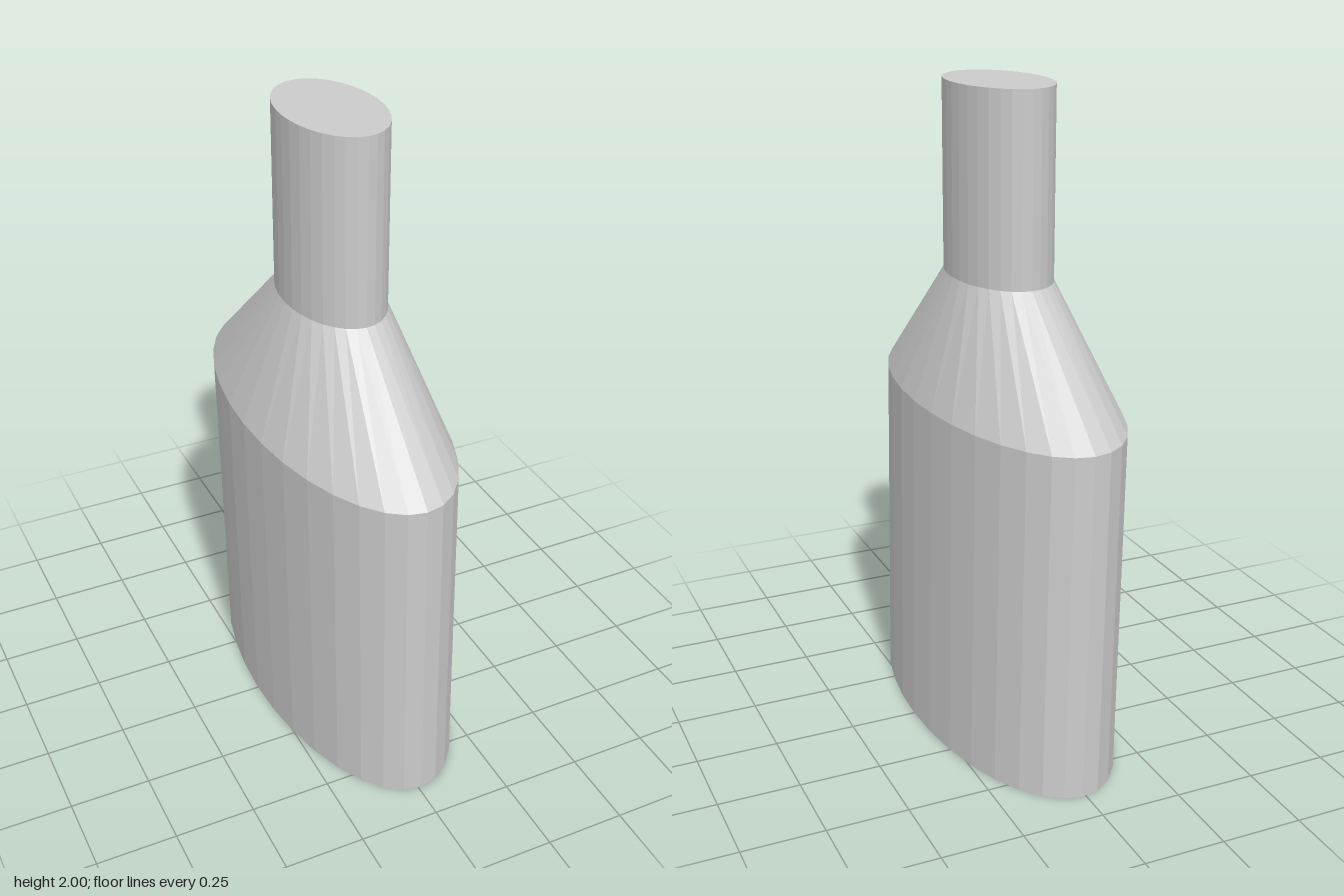
import * as THREE from 'three';

const SIDES = 32;
const material = new THREE.MeshStandardMaterial({ color: 0xcccccc, flatShading: true });

// Elliptical rings: height, centre and radii
const base = { y: 0, x: 0.01, z: -0.003, rx: 0.282, rz: 0.64 };
const shoulder = { y: 1.06, x: -0.011, z: 0.004, rx: 0.282, rz: 0.64 };
const collar = { y: 1.43, x: 0, z: -0.006, rx: 0.146, rz: 0.24 };
const rim = { y: 2, x: 0, z: -0.008, rx: 0.146, rz: 0.24 };

// Open wall joining two rings
function wall(name, lower, upper) {
  const geometry = new THREE.CylinderGeometry(1, 1, 1, SIDES, 1, true);
  const p = geometry.attributes.position;
  for (let i = 0; i < p.count; i++) {
    const r = p.getY(i) > 0 ? upper : lower;
    p.setXYZ(i, r.x + p.getX(i) * r.rx, r.y, r.z + p.getZ(i) * r.rz);
  }
  geometry.computeVertexNormals();
  const mesh = new THREE.Mesh(geometry, material);
  mesh.name = name;
  return mesh;
}

// Flat elliptical cap facing up (1) or down (-1)
function cap(name, ring, facing) {
  const geometry = new THREE.CircleGeometry(1, SIDES);
  geometry.rotateX(-facing * Math.PI / 2);
  geometry.scale(ring.rx, 1, ring.rz);
  geometry.translate(ring.x, ring.y, ring.z);
  const mesh = new THREE.Mesh(geometry, material);
  mesh.name = name;
  return mesh;
}

export function createModel() {
  const group = new THREE.Group();
  group.name = 'bottle';
  group.add(
    cap('bottom', base, -1),
    wall('body', base, shoulder),
    wall('shoulder', shoulder, collar),
    wall('neck', collar, rim),
    cap('top', rim, 1),
  );
  return group;
}
